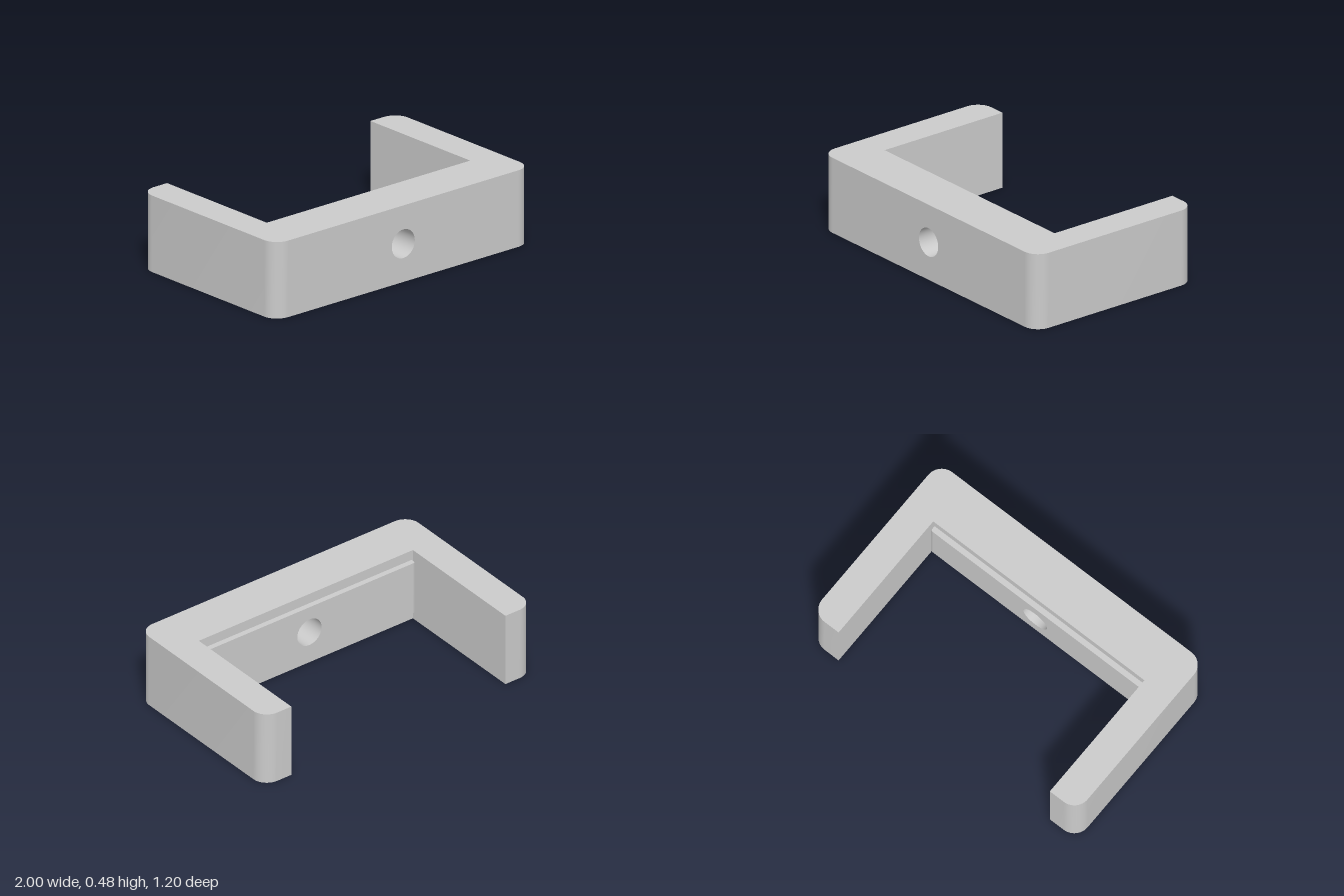
import * as THREE from 'three';
import { mergeGeometries, toCreasedNormals } from 'three/addons/utils/BufferGeometryUtils.js';

const H = 0.48, FRONT = 0.6, INNER_X = 0.795, INNER_Z = 0.29;
const PLATE_X = 0.785, PLATE_Z = 0.255, PLATE_Y0 = 0.065, PLATE_Y1 = 0.415;
const R = 0.1, HOLE_R = 0.09, HOLE_Y = 0.24;

// Plan points are (x, -z), counter-clockwise seen from above
const arc = (cx, cy, r, start) =>
  Array.from({ length: 17 }, (_, i) => {
    const a = start + (i / 16) * Math.PI / 2;
    return [cx + r * Math.cos(a), cy + r * Math.sin(a)];
  });
const mirrored = (pts) => pts.map(([x, y]) => [-x, y]).reverse();

// Vertical strip of wall above a plan path
function wall(pts, y0, y1) {
  const pos = [];
  for (let i = 0; i < pts.length - 1; i++) {
    const [ax, ay] = pts[i], [bx, by] = pts[i + 1];
    pos.push(ax, y0, -ay, bx, y0, -by, bx, y1, -by);
    pos.push(ax, y0, -ay, bx, y1, -by, ax, y1, -ay);
  }
  const g = new THREE.BufferGeometry();
  g.setAttribute('position', new THREE.Float32BufferAttribute(pos, 3));
  return toCreasedNormals(g, Math.PI / 6);
}

function plain(geometry) {
  const g = geometry.toNonIndexed();
  g.deleteAttribute('uv');
  return g;
}

// Horizontal top or bottom face
function cap(pts, y, up) {
  const s = new THREE.Shape(pts.map(([x, py]) => new THREE.Vector2(x, up ? py : -py)));
  return plain(new THREE.ShapeGeometry(s).rotateX(up ? -Math.PI / 2 : Math.PI / 2).translate(0, y, 0));
}

const rectPoints = (w, y0, y1) =>
  [[-w, y0], [w, y0], [w, y1], [-w, y1]].map(([x, y]) => new THREE.Vector2(x, y));

// Upright face with an opening, facing front or back
function panel(w, y0, y1, z, facingFront, hole) {
  const s = new THREE.Shape(rectPoints(w, y0, y1));
  s.holes.push(hole);
  const g = new THREE.ShapeGeometry(s, 24);
  if (!facingFront) g.rotateY(Math.PI);
  return plain(g.translate(0, 0, z));
}

export function createModel() {
  const group = new THREE.Group();
  const material = new THREE.MeshStandardMaterial({ color: 0xcccccc });
  const add = (name, geometry, mat = material) => {
    const mesh = new THREE.Mesh(geometry, mat);
    mesh.name = name;
    group.add(mesh);
  };
  const roundHole = new THREE.Path().absarc(0, HOLE_Y, HOLE_R, 0, Math.PI * 2, false);
  const plateOpening = new THREE.Path(rectPoints(PLATE_X, PLATE_Y0, PLATE_Y1));

  // U-shaped bracket with rounded outer corners
  const arm = [
    ...arc(1 - R, -FRONT + R, R, -Math.PI / 2),
    ...arc(1 - R, FRONT - R, R, 0),
    [INNER_X, FRONT], [INNER_X, -INNER_Z],
  ];
  const otherArm = mirrored(arm);
  const outline = [...arm, ...otherArm];
  add('bracket', mergeGeometries([
    wall(arm, 0, H), wall(otherArm, 0, H),
    cap(outline, H, true), cap(outline, 0, false),
    panel(1 - R, 0, H, FRONT, true, roundHole),
    panel(INNER_X, 0, H, INNER_Z, false, plateOpening),
  ]));

  // Raised plate on the inside of the crossbar
  const r = 0.012;
  const edge = [[PLATE_X, -INNER_Z], ...arc(PLATE_X - r, -PLATE_Z - r, r, 0)];
  const otherEdge = mirrored(edge);
  const platePlan = [...edge, ...otherEdge];
  add('innerPlate', mergeGeometries([
    wall(edge, PLATE_Y0, PLATE_Y1), wall(otherEdge, PLATE_Y0, PLATE_Y1),
    cap(platePlan, PLATE_Y1, true), cap(platePlan, PLATE_Y0, false),
    panel(PLATE_X - r, PLATE_Y0, PLATE_Y1, PLATE_Z, false, roundHole),
  ]));

  // Bore through crossbar and plate
  const bore = new THREE.CylinderGeometry(HOLE_R, HOLE_R, FRONT - PLATE_Z, 48, 1, true)
    .rotateX(Math.PI / 2).translate(0, HOLE_Y, (FRONT + PLATE_Z) / 2);
  add('bore', bore, new THREE.MeshStandardMaterial({ color: 0xcccccc, side: THREE.DoubleSide }));

  return group;
}
